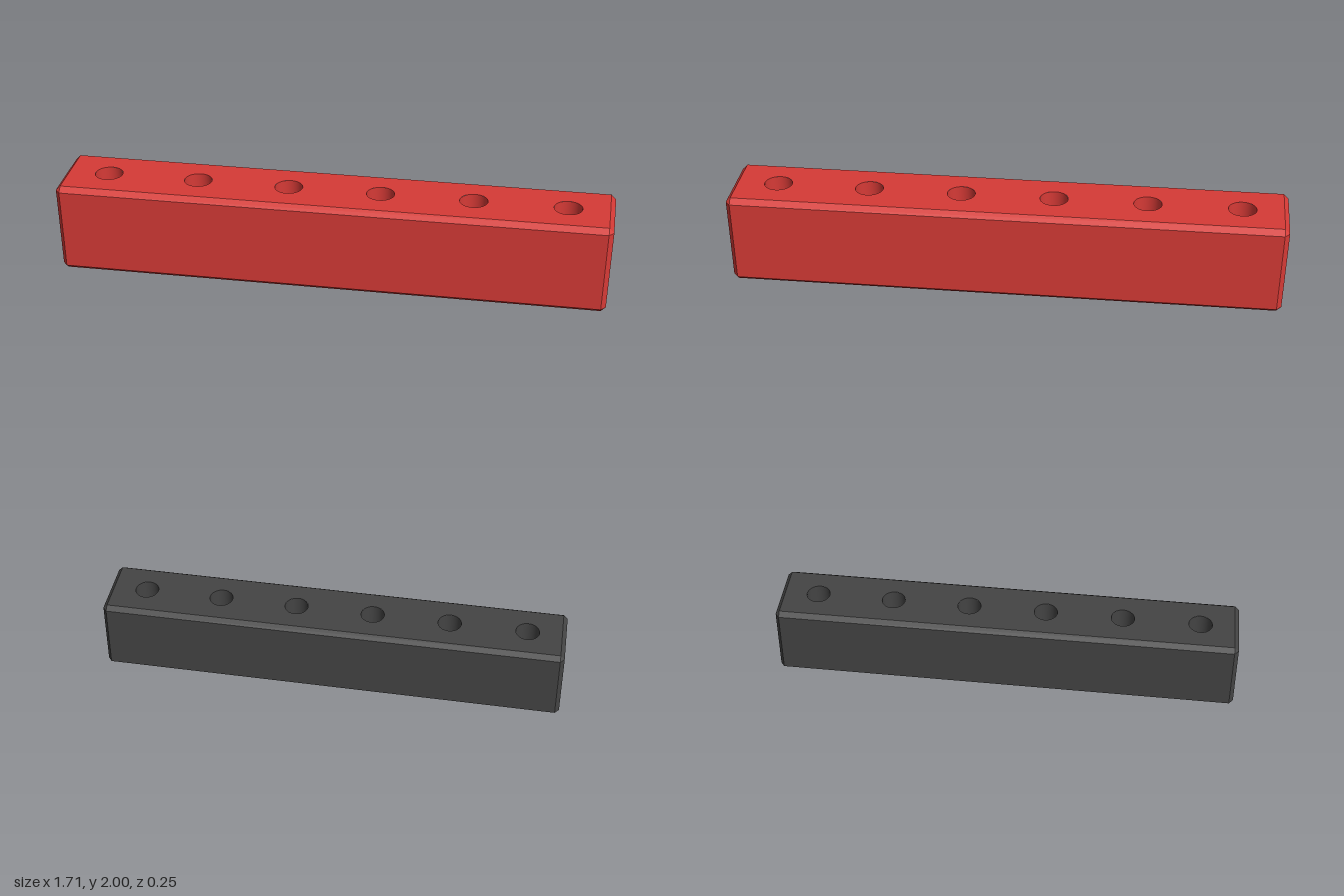
import * as THREE from 'three';

const HX = 0.853, HZ = 0.127, HEIGHT = 0.283; // bar half length, half depth, height
const CX = 0.015, CY = 0.015, CZ = 0.018; // chamfer on each axis
const HOLE_R = 0.043, HOLE_X = [-2.5, -1.5, -0.5, 0.5, 1.5, 2.5].map(i => i * 0.285);
const SEGMENTS = 32;

// Chamfered side walls, lofted through four eight-point rings
function wallGeometry() {
  const ring = (y, inset) => {
    const points = [];
    const ox = inset ? HX - CX : HX, oz = inset ? HZ - CZ : HZ;
    const ix = HX - CX, iz = HZ - CZ;
    for (const [sx, sz] of [[1, 1], [1, -1], [-1, -1], [-1, 1]]) {
      const a = [sx * ix, y, sz * oz], b = [sx * ox, y, sz * iz];
      points.push(...(sx * sz > 0 ? [a, b] : [b, a]));
    }
    return points;
  };
  const rings = [ring(0, true), ring(CY, false), ring(HEIGHT - CY, false), ring(HEIGHT, true)];
  const position = [];
  for (let r = 0; r < 3; r++) {
    for (let i = 0; i < 8; i++) {
      const j = (i + 1) % 8;
      const a = rings[r][i], b = rings[r][j], c = rings[r + 1][j], d = rings[r + 1][i];
      const corner = i % 2 === 0; // inset rings collapse to a point at corners
      if (!(corner && r === 0)) position.push(...a, ...b, ...c);
      if (!(corner && r === 2)) position.push(...a, ...c, ...d);
      if (corner && r === 2) continue;
    }
  }
  const geometry = new THREE.BufferGeometry();
  geometry.setAttribute('position', new THREE.Float32BufferAttribute(position, 3));
  geometry.computeVertexNormals();
  return geometry;
}

// Flat end face, pierced by the row of holes when asked
function capGeometry(pierced) {
  const x = HX - CX, z = HZ - CZ;
  const shape = new THREE.Shape([
    new THREE.Vector2(-x, -z), new THREE.Vector2(x, -z),
    new THREE.Vector2(x, z), new THREE.Vector2(-x, z)
  ]);
  if (pierced) {
    for (const hx of HOLE_X) {
      shape.holes.push(new THREE.Path().absarc(hx, 0, HOLE_R, 0, Math.PI * 2, true));
    }
  }
  return new THREE.ShapeGeometry(shape, SEGMENTS);
}

function createBar(name, color, holeDepth) {
  const bar = new THREE.Group();
  bar.name = name;
  const material = new THREE.MeshStandardMaterial({ color });
  const boreMaterial = new THREE.MeshStandardMaterial({ color, side: THREE.BackSide });
  const through = holeDepth >= HEIGHT;
  const add = (part, geometry, mat = material) => {
    const mesh = new THREE.Mesh(geometry, mat);
    mesh.name = part;
    bar.add(mesh);
    return mesh;
  };

  add('chamferedSides', wallGeometry());
  add('topFace', capGeometry(true).rotateX(-Math.PI / 2).translate(0, HEIGHT, 0));
  add('bottomFace', capGeometry(through).rotateX(Math.PI / 2));

  // Hole walls, with floors where the holes are blind
  const bore = new THREE.CylinderGeometry(HOLE_R, HOLE_R, holeDepth, SEGMENTS, 1, true);
  const floor = new THREE.CircleGeometry(HOLE_R, SEGMENTS).rotateX(-Math.PI / 2);
  for (const x of HOLE_X) {
    add('holeWall', bore, boreMaterial).position.set(x, HEIGHT - holeDepth / 2, 0);
    if (!through) add('holeFloor', floor).position.set(x, HEIGHT - holeDepth, 0);
  }
  return bar;
}

export function createModel() {
  const model = new THREE.Group();
  model.name = 'drilledBarPair';
  const lower = createBar('lowerBar', 0x444444, 0.2);
  const upper = createBar('upperBar', 0xd63a36, HEIGHT);
  upper.position.y = 2 - HEIGHT;
  model.add(lower, upper);
  return model;
}
